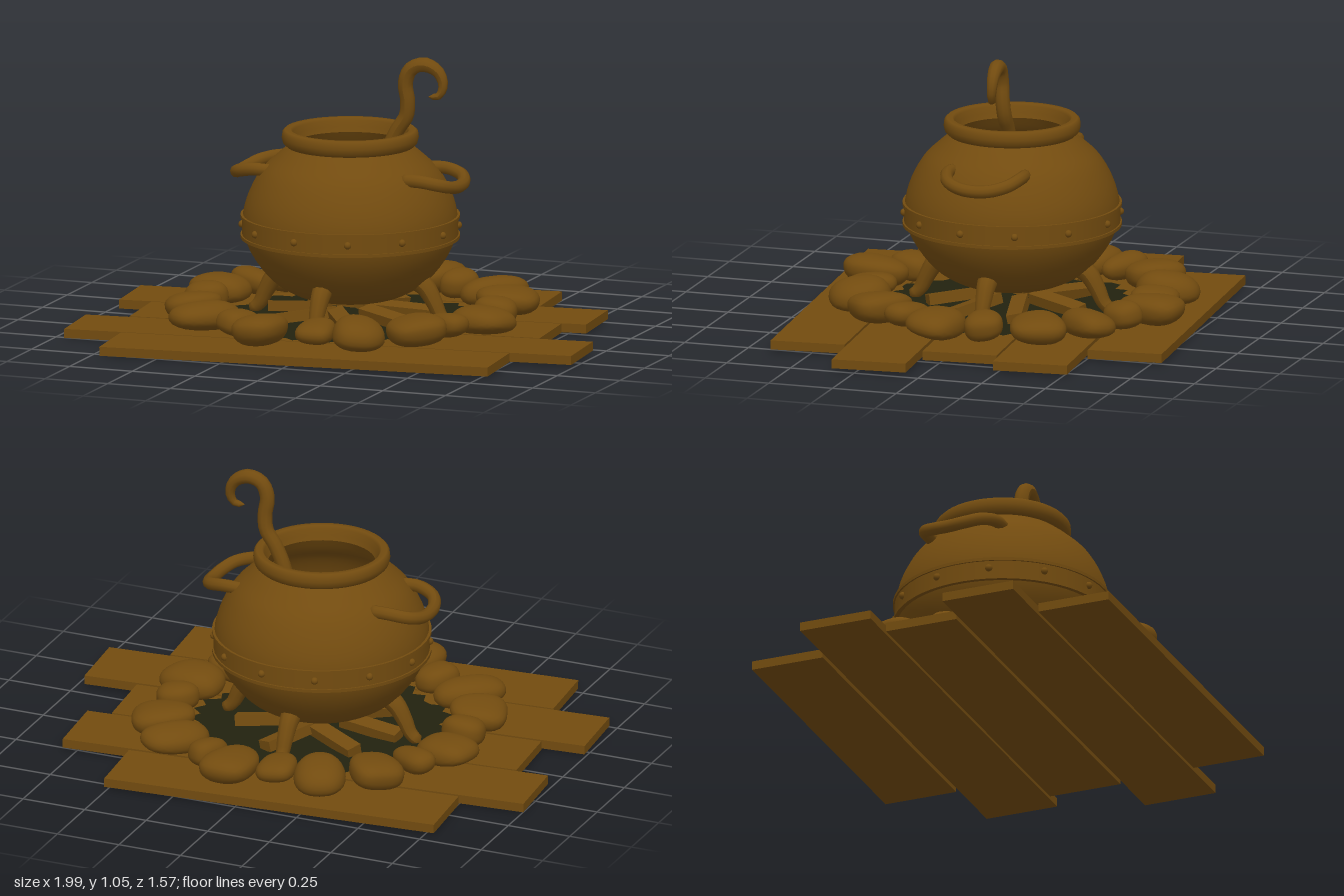
import * as THREE from 'three';
import { mergeVertices } from 'three/addons/utils/BufferGeometryUtils.js';

const brown = new THREE.MeshStandardMaterial({ color: 0x724b0f, side: THREE.DoubleSide });
brown.name = 'warm brown';
const soot = new THREE.MeshStandardMaterial({ color: 0x22220f, side: THREE.DoubleSide });
soot.name = 'soot';

const V = (x, y, z) => new THREE.Vector3(x, y, z);

function add(parent, name, geometry, material = brown) {
  const mesh = new THREE.Mesh(geometry, material);
  mesh.name = name;
  parent.add(mesh);
  return mesh;
}

// Tube along a curve whose radius follows radiusAt(t), with rounded-off ends
function taperedTube(points, radiusAt, segments = 24, sides = 10) {
  const curve = new THREE.CatmullRomCurve3(points);
  const g = new THREE.TubeGeometry(curve, segments, 1, sides);
  const p = g.attributes.position;
  const v = V(0, 0, 0);
  for (let i = 0; i < p.count; i++) {
    const ring = Math.floor(i / (sides + 1));
    const c = curve.getPointAt(ring / segments);
    const r = ring === 0 || ring === segments ? 0.001 : radiusAt(ring / segments);
    v.fromBufferAttribute(p, i).sub(c).multiplyScalar(r).add(c);
    p.setXYZ(i, v.x, v.y, v.z);
  }
  g.computeVertexNormals();
  return g;
}

// Lumpy rounded stone, long axis along x
function stoneGeometry(a, h, b, seed) {
  let g = new THREE.IcosahedronGeometry(1, 4);
  g.deleteAttribute('uv');
  g.deleteAttribute('normal');
  g = mergeVertices(g, 1e-4);
  const p = g.attributes.position;
  const v = V(0, 0, 0);
  for (let i = 0; i < p.count; i++) {
    v.fromBufferAttribute(p, i);
    const lump = 1 + 0.06 * Math.sin(2.3 * v.x + seed) + 0.06 * Math.sin(2.7 * v.z + seed * 1.7)
      + 0.04 * Math.sin(3.1 * v.y + seed * 2.3);
    const wide = 1 + 0.15 * v.x;
    const box = (t) => Math.sign(t) * Math.pow(Math.abs(t), 0.85);
    p.setXYZ(i, box(v.x) * a * lump, box(v.y) * h * lump, box(v.z) * b * lump * wide);
  }
  g.computeVertexNormals();
  return g;
}

export function createModel() {
  const model = new THREE.Group();
  model.name = 'cauldronOnFirePit';

  // Floor planks: centre x, centre z, length
  const floor = new THREE.Group();
  floor.name = 'floor';
  model.add(floor);
  [[-0.12, -0.595, 1.295], [-0.087, -0.3, 1.81], [-0.045, -0.01, 1.59],
    [0.002, 0.283, 1.965], [0.02, 0.575, 1.505]].forEach(([x, z, length]) => {
    const plank = add(floor, 'plank', new THREE.BoxGeometry(length, 0.034, 0.283));
    plank.position.set(x, 0.022 + x * 0.005, z);
    plank.rotation.set(0, 0.085, 0.005);
  });

  // Ragged ash patch
  const ashShape = new THREE.Shape();
  for (let i = 0; i < 72; i++) {
    const a = (i / 72) * Math.PI * 2;
    const r = 0.47 + 0.025 * Math.sin(i * 2.4) + 0.02 * Math.sin(i * 0.9);
    ashShape[i ? 'lineTo' : 'moveTo'](Math.cos(a) * r, Math.sin(a) * r);
  }
  const ash = add(model, 'ash', new THREE.ShapeGeometry(ashShape), soot);
  ash.rotation.x = -Math.PI / 2;
  ash.position.set(-0.03, 0.048, -0.02);

  // Ring of stones: x, z, half length, half width
  const stones = new THREE.Group();
  stones.name = 'stoneRing';
  model.add(stones);
  [[0.07, -0.6, 0.125, 0.095], [0.21, -0.53, 0.085, 0.06], [0.37, -0.46, 0.125, 0.085],
    [0.49, -0.29, 0.115, 0.1], [0.52, -0.1, 0.085, 0.07], [0.54, 0.09, 0.125, 0.1],
    [0.45, 0.22, 0.09, 0.06], [0.37, 0.36, 0.13, 0.1], [0.21, 0.5, 0.115, 0.1],
    [0.04, 0.51, 0.095, 0.07], [-0.15, 0.55, 0.125, 0.09], [-0.29, 0.46, 0.095, 0.065],
    [-0.45, 0.39, 0.125, 0.09], [-0.56, 0.21, 0.11, 0.095], [-0.58, 0.04, 0.085, 0.07],
    [-0.6, -0.15, 0.12, 0.09], [-0.52, -0.29, 0.09, 0.06], [-0.43, -0.44, 0.125, 0.09],
    [-0.26, -0.56, 0.115, 0.1], [-0.09, -0.56, 0.09, 0.07]].forEach(([x, z, a, b], i) => {
    const h = b > 0.08 ? 0.055 : 0.048;
    const stone = add(stones, 'stone', stoneGeometry(a, h, b, i * 1.9));
    stone.position.set(x, 0.1, z);
    stone.rotation.set(0.12 * Math.sin(i * 2.1), -Math.atan2(z + 0.03, x + 0.03), 0.12 * Math.sin(i * 1.3), 'YXZ');
  });

  // Everything below is centred on the pot axis
  const cauldron = new THREE.Group();
  cauldron.name = 'cauldron';
  cauldron.position.set(-0.03, 0, -0.02);
  model.add(cauldron);

  // Firewood lying under the pot
  for (let i = 0; i < 7; i++) {
    const a = i * 0.9 + 0.45;
    const log = add(cauldron, 'firewood', new THREE.BoxGeometry(0.24, 0.04, 0.06));
    log.position.set(Math.cos(a) * 0.2, 0.075, Math.sin(a) * 0.2);
    log.rotation.set(0.2, -a + 0.4 * Math.sin(i * 2), -0.08, 'YXZ');
  }

  // Pot body, outside then inside
  const spline = new THREE.SplineCurve([[0, 0.11], [0.12, 0.12], [0.21, 0.145], [0.295, 0.2], [0.37, 0.3],
    [0.4, 0.4], [0.385, 0.5], [0.335, 0.6], [0.27, 0.665], [0.22, 0.705]].map((q) => new THREE.Vector2(...q)));
  add(cauldron, 'potBody', new THREE.LatheGeometry(spline.getPoints(36), 56));
  const inner = new THREE.SplineCurve([[0.2, 0.71], [0.24, 0.65], [0.3, 0.6], [0.35, 0.5], [0.365, 0.4],
    [0.335, 0.3], [0.26, 0.21], [0.15, 0.165], [0, 0.15]].map((q) => new THREE.Vector2(...q)));
  add(cauldron, 'potInside', new THREE.LatheGeometry(inner.getPoints(30), 56));

  // Rolled rim
  add(cauldron, 'rim', new THREE.LatheGeometry([[0.2, 0.71], [0.215, 0.7], [0.237, 0.7], [0.25, 0.712],
    [0.255, 0.732], [0.252, 0.753], [0.243, 0.762], [0.222, 0.762], [0.214, 0.752], [0.208, 0.73],
    [0.2, 0.71]].map((q) => new THREE.Vector2(...q)), 48));

  // Riveted belt with raised edges
  const belt = (name, r, y, h) => {
    const m = add(cauldron, name, new THREE.CylinderGeometry(r, r, h, 56, 1, true));
    m.position.y = y;
  };
  belt('belt', 0.402, 0.397, 0.075);
  [0.36, 0.435].forEach((y) => {
    belt('beltEdge', 0.408, y, 0.012);
    [-0.006, 0.006].forEach((d) => {
      const lip = add(cauldron, 'beltEdgeLip', new THREE.RingGeometry(0.375, 0.408, 56));
      lip.rotation.x = d > 0 ? -Math.PI / 2 : Math.PI / 2;
      lip.position.y = y + d;
    });
  });
  for (let i = 0; i < 12; i++) {
    const a = THREE.MathUtils.degToRad(20 + i * 30);
    const rivet = add(cauldron, 'rivet', new THREE.SphereGeometry(0.014, 10, 8));
    rivet.position.set(Math.sin(a) * 0.402, 0.4, Math.cos(a) * 0.402);
  }

  // Four splayed legs
  for (let i = 0; i < 4; i++) {
    const leg = add(cauldron, 'leg', taperedTube(
      [V(0.25, 0.22, 0), V(0.3, 0.185, 0), V(0.335, 0.13, 0), V(0.36, 0.08, 0), V(0.4, 0.045, 0)],
      (t) => 0.042 - 0.02 * t, 16));
    leg.rotation.y = (i * Math.PI) / 2;
  }

  // Side handles
  for (const s of [1, -1]) {
    add(cauldron, s > 0 ? 'leftHandle' : 'rightHandle', taperedTube(
      [[0.25, 0.61, -0.14], [0.33, 0.612, -0.143], [0.4, 0.597, -0.115], [0.43, 0.582, -0.06], [0.436, 0.577, 0],
        [0.43, 0.582, 0.06], [0.4, 0.597, 0.115], [0.33, 0.612, 0.143], [0.25, 0.61, 0.14]]
        .map(([x, y, z]) => V(x * s, y, z)), () => 0.024, 32));
  }

  // Ladle handle with a curled hook
  add(model, 'ladleHandle', taperedTube([V(0.08, 0.5, -0.06), V(0.1, 0.66, -0.06), V(0.14, 0.76, -0.06),
    V(0.178, 0.82, -0.06), V(0.185, 0.88, -0.055), V(0.178, 0.945, -0.05), V(0.2, 1.0, -0.05),
    V(0.25, 1.02, -0.055), V(0.305, 0.995, -0.06), V(0.325, 0.945, -0.06), V(0.31, 0.905, -0.055),
    V(0.27, 0.9, -0.05)], (t) => (t < 0.75 ? 0.028 : 0.028 - 0.07 * (t - 0.75)), 40));

  return model;
}
